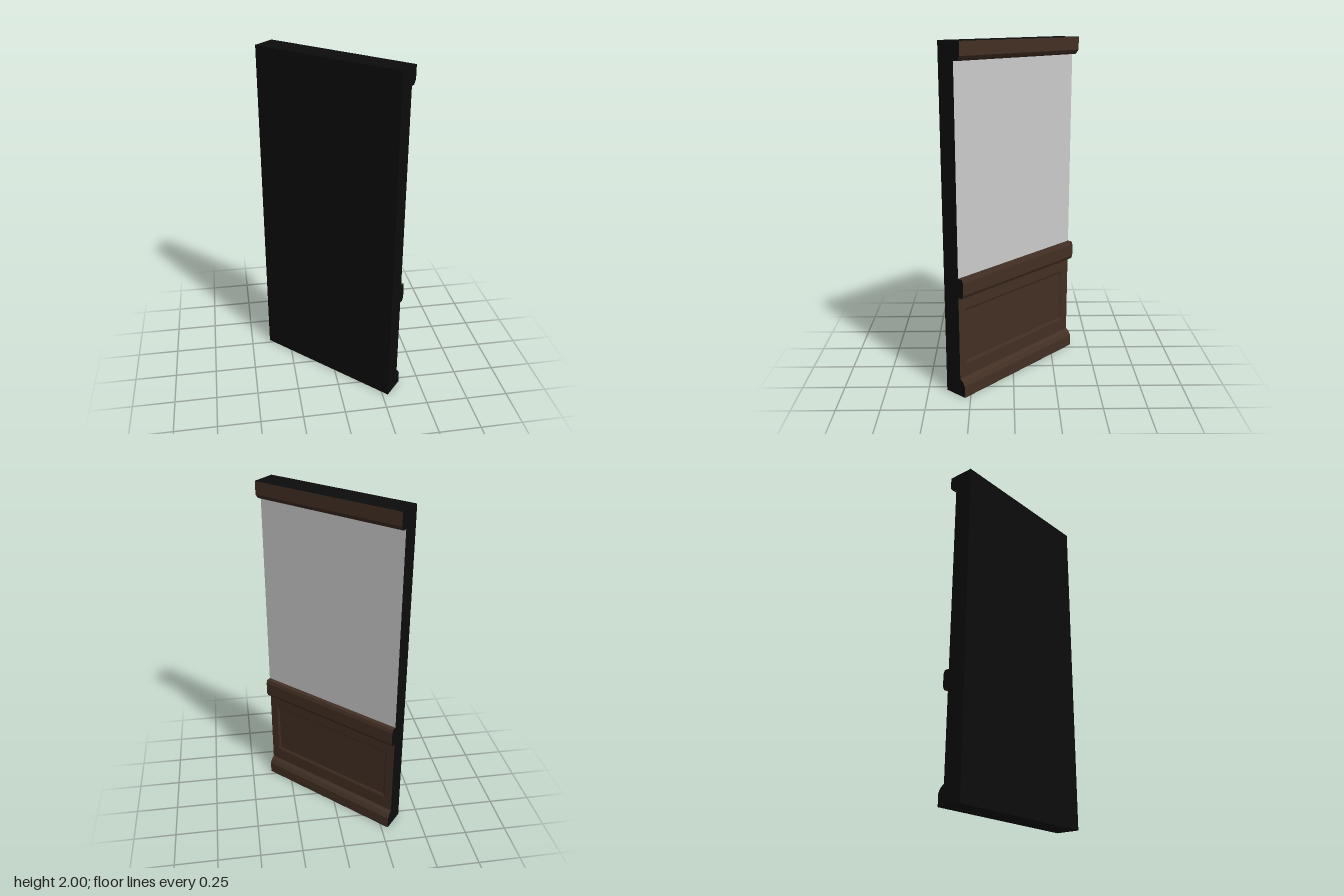
import * as THREE from 'three';

const L = 0.942;          // wall length
const BACK = -0.077;      // back face depth
const FACE = 0.032;       // finished wall face depth
const CORE = FACE - 0.01; // core depth behind the finish layer
const SKEW = 0.078;       // ends are cut slightly off square

export function createModel() {
  const wall = new THREE.Group();
  wall.name = 'wallSection';

  const mat = (color) => new THREE.MeshStandardMaterial({ color });
  const black = mat(0x0c0c0c), wood = mat(0x422f24), plaster = mat(0xcccccc);

  const add = (name, geometry, material) => {
    geometry.applyMatrix4(new THREE.Matrix4().set(
      1, 0, SKEW, 0, 0, 1, 0, 0, 0, 0, 1, 0, 0, 0, 0, 1));
    geometry.computeVertexNormals();
    const mesh = new THREE.Mesh(geometry, material);
    mesh.name = name;
    wall.add(mesh);
  };

  // full-length slab between two heights and two depths
  const slab = (name, y0, y1, z0, z1, material) => add(name,
    new THREE.BoxGeometry(L, y1 - y0, z1 - z0)
      .translate(0, (y0 + y1) / 2, (z0 + z1) / 2), material);

  // moulding: [depth, height] profile swept along the wall, with dark cut ends
  const moulding = (name, profile) => {
    const shape = new THREE.Shape(profile.map(([z, y]) => new THREE.Vector2(z, y)));
    const g = new THREE.ExtrudeGeometry(shape, { depth: L, bevelEnabled: false });
    add(name, g.rotateY(-Math.PI / 2).translate(L / 2, 0, 0), [black, wood]);
  };

  const rect = (hw, y0, y1) => [[-hw, y0], [hw, y0], [hw, y1], [-hw, y1]];
  const points = (r) => r.map(([x, y]) => new THREE.Vector2(x, y));

  // wall body
  slab('wallCore', 0, 2, BACK, CORE, black);
  slab('upperWall', 0.66, 2, CORE, FACE, [black, black, black, black, plaster, black]);

  // wainscot with a recessed panel
  const hw = L / 2 - 0.05, y0 = 0.19, y1 = 0.53;
  const board = new THREE.Shape(points(rect(L / 2, 0, 0.66)));
  board.holes.push(new THREE.Path(points(rect(hw, y0, y1)).reverse()));
  add('wainscot', new THREE.ExtrudeGeometry(board, { depth: FACE - CORE, bevelEnabled: false })
    .translate(0, 0, CORE), [wood, black]);

  // stepped frame running round the panel: [inset, depth] steps
  const steps = [[0, FACE], [0.006, FACE - 0.004], [0.009, FACE - 0.004], [0.014, CORE + 0.001]];
  const rings = steps.map(([s, z]) => rect(hw - s, y0 + s, y1 - s).map((p) => [...p, z]));
  const pos = [];
  for (let i = 0; i + 1 < rings.length; i++) {
    for (let j = 0; j < 4; j++) {
      const k = (j + 1) % 4;
      const [a, b, c, d] = [rings[i][j], rings[i][k], rings[i + 1][k], rings[i + 1][j]];
      pos.push(...a, ...b, ...c, ...a, ...c, ...d);
    }
  }
  const frame = new THREE.BufferGeometry();
  frame.setAttribute('position', new THREE.Float32BufferAttribute(pos, 3));
  add('panelFrame', frame, wood);
  add('panelField', new THREE.PlaneGeometry(2 * hw - 0.028, y1 - y0 - 0.028)
    .translate(0, (y0 + y1) / 2, CORE + 0.001), wood);

  // mouldings
  moulding('baseboard', [[FACE, 0.001], [0.067, 0.001], [0.067, 0.07], [0.052, 0.095], [FACE, 0.11]]);
  moulding('chairRail', [[FACE, 0.61], [0.057, 0.61], [0.068, 0.63], [0.068, 0.705], [0.06, 0.725], [FACE, 0.725]]);
  moulding('crown', [[FACE, 1.9], [0.057, 1.9], [0.066, 1.91], [0.077, 1.925], [0.077, 1.999], [FACE, 1.999]]);

  // dark cut faces above the crown and below the baseboard
  slab('topCut', 1.999, 2, FACE, 0.077, black);
  slab('bottomCut', 0, 0.001, FACE, 0.067, black);

  // the wall stands diagonally
  wall.rotation.y = Math.PI * 0.75;
  const model = new THREE.Group();
  model.name = 'diagonalWall';
  model.add(wall);
  return model;
}
